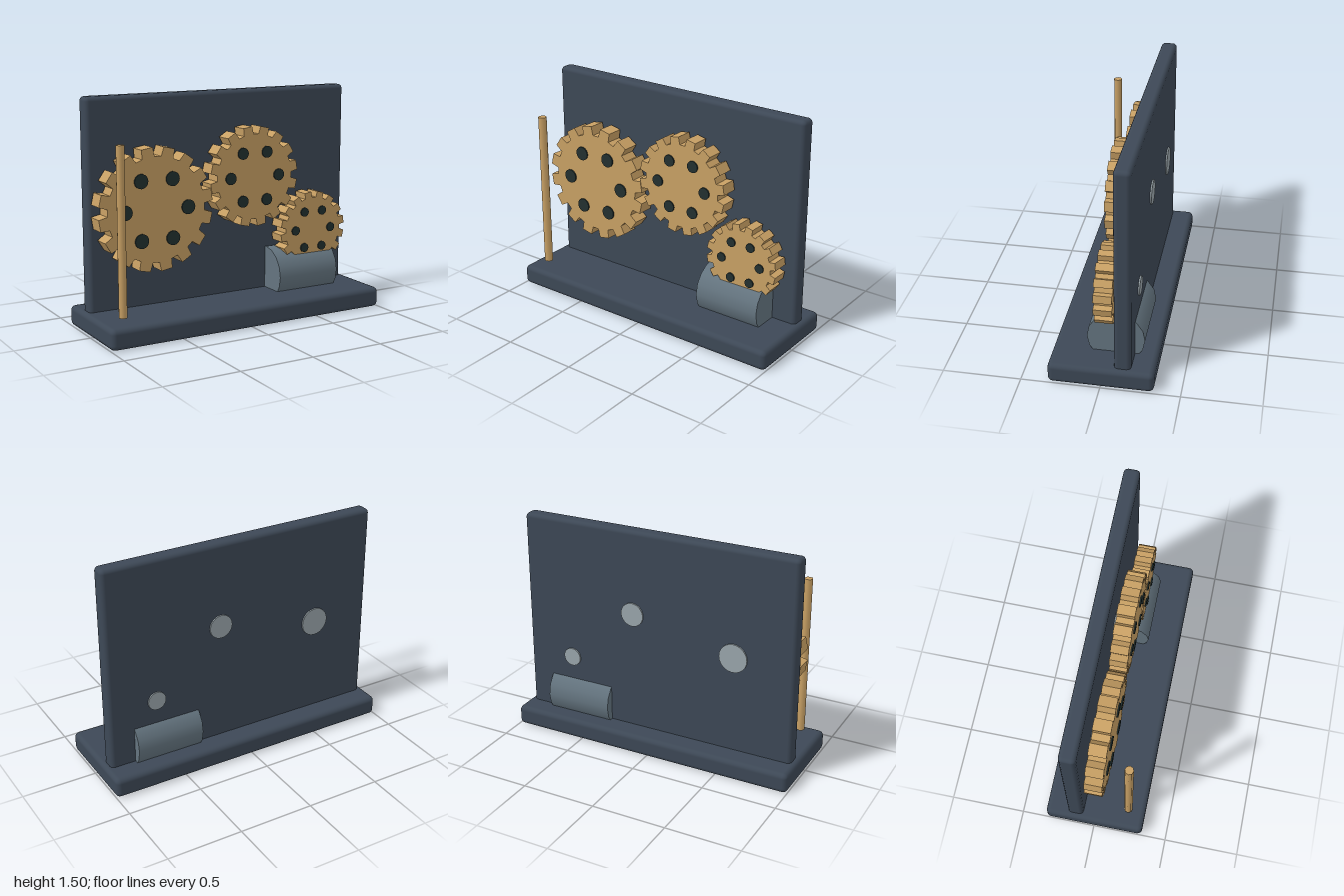
import * as THREE from 'three';
import { RoundedBoxGeometry } from 'three/addons/geometries/RoundedBoxGeometry.js';

const material = (name, color) => {
  const m = new THREE.MeshStandardMaterial({ color });
  m.name = name;
  return m;
};

export function createModel() {
  const slate = material('slate frame', 0x3d4856);
  const brass = material('brass', 0xc8a064);
  const steel = material('steel axle', 0x9aa5ab);
  const motorGrey = material('motor grey', 0x64747f);
  const dark = material('dark hole', 0x22302f);

  const model = new THREE.Group();
  model.name = 'gearMachine';

  const add = (parent, name, geometry, mat, x, y, z) => {
    const mesh = new THREE.Mesh(geometry, mat);
    mesh.name = name;
    mesh.position.set(x, y, z);
    parent.add(mesh);
    return mesh;
  };

  // Base slab and upright back panel
  add(model, 'base', new RoundedBoxGeometry(2, 0.135, 0.666, 2, 0.033), slate, 0, 0.0675, 0);
  add(model, 'backPanel', new RoundedBoxGeometry(1.93, 1.42, 0.106, 2, 0.028), slate, 0, 0.79, -0.133);

  // Toothed outline: root, tip, tip, root for every tooth
  const gearShape = (radius, teeth) => {
    const profile = [[0.1, 0.85], [0.17, 1], [0.67, 1], [0.75, 0.85]];
    const points = [];
    for (let i = 0; i < teeth; i++) {
      for (const [f, r] of profile) {
        const a = ((i + f) / teeth) * Math.PI * 2;
        points.push(new THREE.Vector2(Math.cos(a) * r * radius, Math.sin(a) * r * radius));
      }
    }
    return new THREE.Shape(points);
  };

  // Gear with six dark holes on its face and an axle through the panel
  const addGear = (name, x, y, radius) => {
    const gear = new THREE.Group();
    gear.name = name;
    gear.position.set(x, y, 0);
    const wheel = new THREE.ExtrudeGeometry(gearShape(radius, 16), { depth: 0.117, bevelEnabled: false });
    add(gear, 'wheel', wheel, brass, 0, 0, -0.057);
    const hole = new THREE.CylinderGeometry(radius * 0.118, radius * 0.118, 0.009, 20).rotateX(Math.PI / 2);
    for (let i = 0; i < 6; i++) {
      const a = (i * Math.PI) / 3;
      add(gear, 'hole', hole, dark, Math.cos(a) * radius * 0.55, Math.sin(a) * radius * 0.55, 0.0645);
    }
    const axle = new THREE.CylinderGeometry(radius * 0.24, radius * 0.24, 0.175, 24).rotateX(Math.PI / 2);
    add(gear, 'axle', axle, steel, 0, 0, -0.1085);
    model.add(gear);
  };
  addGear('largeGear', -0.553, 0.784, 0.4);
  addGear('mediumGear', 0.165, 0.936, 0.333);
  addGear('smallGear', 0.632, 0.535, 0.259);

  // Motor drum lying along x, partly sunk into the base
  const motor = new THREE.CylinderGeometry(0.183, 0.183, 0.462, 16).rotateZ(Math.PI / 2);
  add(model, 'motor', motor, motorGrey, 0.565, 0.238, -0.065);

  // Upright rod in front of the large gear
  add(model, 'rod', new THREE.CylinderGeometry(0.028, 0.028, 1.065, 8), brass, -0.872, 0.703, 0.217);

  return model;
}
